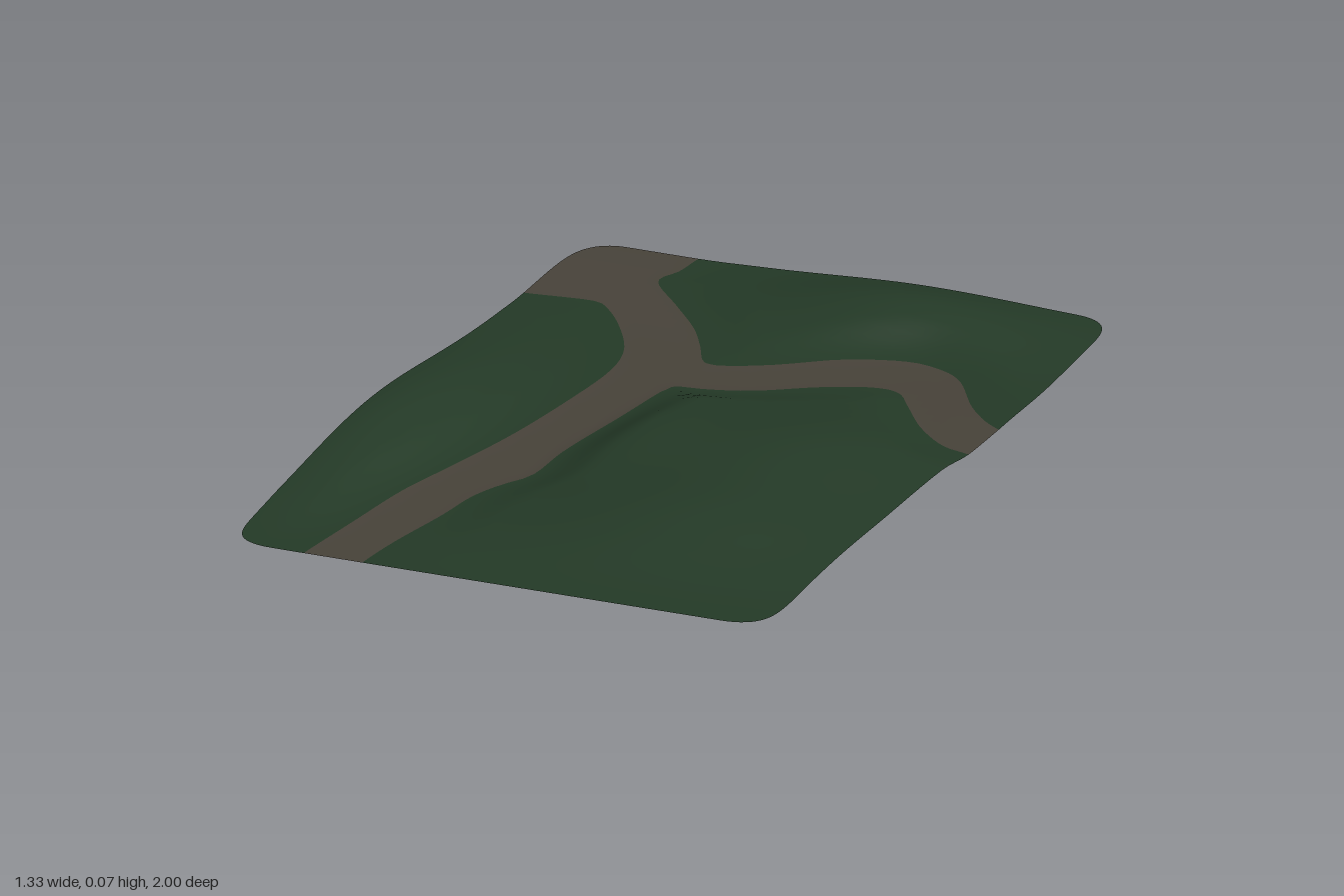
import * as THREE from 'three';

const { smoothstep } = THREE.MathUtils;

// Each bank of the forked path, as x, z points joined by a smooth curve
const bank = (pts, n) => {
  const v = [];
  for (let i = 0; i < pts.length; i += 2) v.push(new THREE.Vector2(pts[i], pts[i + 1]));
  return new THREE.SplineCurve(v).getPoints(n);
};
const leftBank = bank([-0.475, 1.1, -0.475, 1, -0.45, 0.77, -0.426, 0.56, -0.384, 0.37, -0.336, 0.135,
  -0.304, -0.13, -0.294, -0.315, -0.32, -0.447, -0.394, -0.58, -0.463, -0.664, -0.5, -0.682,
  -0.58, -0.675, -0.67, -0.664, -0.8, -0.66], 70);
const backBank = bank([-0.36, -1.1, -0.38, -1, -0.389, -0.913, -0.41, -0.84, -0.315, -0.728, -0.225, -0.622,
  -0.167, -0.527, -0.124, -0.447, -0.077, -0.437, 0.03, -0.49, 0.16, -0.58, 0.294, -0.622,
  0.384, -0.61, 0.463, -0.558, 0.558, -0.415, 0.66, -0.32, 0.8, -0.27], 80);
const rightBank = bank([0.8, -0.11, 0.66, -0.15, 0.585, -0.177, 0.495, -0.262, 0.415, -0.373, 0.362, -0.442,
  0.294, -0.452, 0.188, -0.41, 0.056, -0.325, -0.05, -0.288, -0.12, -0.278, -0.135, -0.235,
  -0.156, -0.05, -0.188, 0.188, -0.193, 0.35, -0.235, 0.437, -0.267, 0.53, -0.283, 0.664,
  -0.315, 0.85, -0.33, 1, -0.33, 1.1], 100);
const outline = [...leftBank, new THREE.Vector2(-0.8, -1.1), ...backBank, ...rightBank];

// Signed distance to the path: negative on it, positive on the grass
function pathDistance(x, z) {
  let best = Infinity, inside = false;
  for (let i = 0; i < outline.length; i++) {
    const a = outline[i], b = outline[(i + 1) % outline.length];
    const ex = b.x - a.x, ez = b.y - a.y, px = x - a.x, pz = z - a.y;
    const t = Math.min(1, Math.max(0, (px * ex + pz * ez) / (ex * ex + ez * ez || 1)));
    best = Math.min(best, Math.hypot(px - t * ex, pz - t * ez));
    if ((a.y > z) !== (b.y > z) && x < a.x + (ex * (z - a.y)) / ez) inside = !inside;
  }
  return inside ? -best : best;
}

// Hills: x, z, spread in x, spread in z, height
const hills = [
  [-0.63, 0.22, 0.13, 0.35, 0.06],
  [0.2, -0.82, 0.24, 0.13, 0.064],
  [0.28, 0.08, 0.24, 0.24, 0.064],
  [0.25, 0.56, 0.25, 0.19, 0.055],
  [-0.06, 0.06, 0.12, 0.25, 0.026],
];

function heightAt(x, z, d = pathDistance(x, z)) {
  let h = 0;
  for (const [cx, cz, sx, sz, top] of hills)
    h += top * Math.exp(-0.5 * (((x - cx) / sx) ** 2 + ((z - cz) / sz) ** 2));
  const frontFade = 1 - smoothstep(z, 0.7, 1.08);
  const base = 0.009 * smoothstep(-z, 0.5, 1) + 0.006 * smoothstep(x, 0.2, 0.66) * frontFade;
  return base + h * frontFade * smoothstep(d, -0.03, 0.14);
}

// Half width of the sheet, drawn in at the rounded corners
function halfWidth(z) {
  const power = z > 0 ? 26 : 18;
  return 0.56 + 0.105 * Math.sqrt(Math.max(0, 1 - Math.abs(z) ** power));
}

// Keep the part of a triangle lying on one side of the path edge
function clip(tri, side) {
  const out = [];
  tri.forEach((a, i) => {
    const b = tri[(i + 1) % 3];
    if (a.d * side >= 0) out.push(a);
    if (a.d * b.d < 0) {
      const t = a.d / (a.d - b.d);
      out.push({ x: a.x + (b.x - a.x) * t, z: a.z + (b.z - a.z) * t, d: 0 });
    }
  });
  return out;
}

function surface(triangles, side) {
  const pos = [], nor = [], e = 0.008;
  const add = (p) => {
    if (!p.n) {
      p.y = heightAt(p.x, p.z, p.d);
      p.n = new THREE.Vector3(
        heightAt(p.x - e, p.z) - heightAt(p.x + e, p.z), 2 * e,
        heightAt(p.x, p.z - e) - heightAt(p.x, p.z + e)).normalize();
    }
    pos.push(p.x, p.y, p.z);
    nor.push(p.n.x, p.n.y, p.n.z);
  };
  for (const tri of triangles) {
    const poly = clip(tri, side);
    for (let i = 1; i + 1 < poly.length; i++) [poly[0], poly[i], poly[i + 1]].forEach(add);
  }
  const g = new THREE.BufferGeometry();
  g.setAttribute('position', new THREE.Float32BufferAttribute(pos, 3));
  g.setAttribute('normal', new THREE.Float32BufferAttribute(nor, 3));
  return g;
}

export function createModel() {
  const grassGreen = new THREE.MeshStandardMaterial({ color: 0x243a27, side: THREE.DoubleSide });
  const earthBrown = new THREE.MeshStandardMaterial({ color: 0x48433a, side: THREE.DoubleSide });
  grassGreen.name = 'grassGreen';
  earthBrown.name = 'earthBrown';

  // Ground grid, with rows closer together towards the rounded ends
  const cols = 48, rows = 80, grid = [];
  for (let j = 0; j <= rows; j++) {
    const z = Math.sin((j / rows - 0.5) * Math.PI), w = halfWidth(z);
    for (let i = 0; i <= cols; i++) {
      const x = (2 * i / cols - 1) * w;
      grid.push({ x, z, d: pathDistance(x, z) });
    }
  }
  const triangles = [];
  for (let j = 0; j < rows; j++) for (let i = 0; i < cols; i++) {
    const k = j * (cols + 1) + i, a = grid[k], b = grid[k + 1];
    const c = grid[k + cols + 1], d = grid[k + cols + 2];
    triangles.push([a, c, b], [b, c, d]);
  }

  const group = new THREE.Group();
  group.name = 'terrain';
  const grass = new THREE.Mesh(surface(triangles, 1), grassGreen);
  grass.name = 'grass';
  const path = new THREE.Mesh(surface(triangles, -1), earthBrown);
  path.name = 'path';
  group.add(grass, path);
  return group;
}
